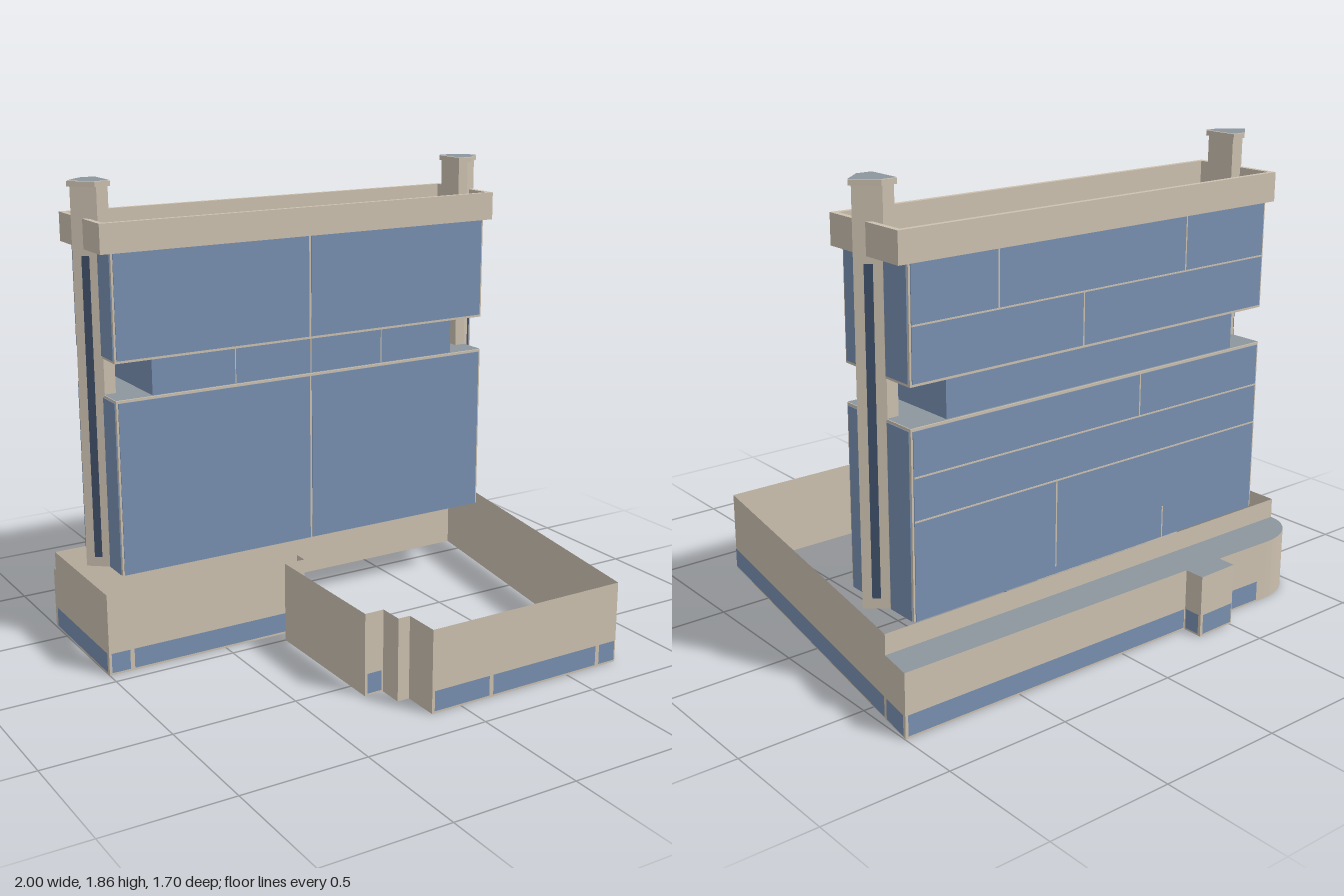
import * as THREE from 'three';

const mat = (name, color, side = THREE.FrontSide) => {
  const m = new THREE.MeshStandardMaterial({ color, side });
  m.name = name;
  return m;
};

export function createModel() {
  const stone = mat('stone', 0xcdc1b0, THREE.DoubleSide);
  const glass = mat('blue glass', 0x7890b0);
  const slate = mat('grey roof', 0x8c969d, THREE.DoubleSide);
  const dark = mat('dark glass', 0x40516a);

  const model = new THREE.Group();
  const podium = new THREE.Group();
  podium.name = 'podium';
  const tower = new THREE.Group();
  tower.name = 'tower';
  tower.position.x = -0.01;
  model.add(podium, tower);

  const add = (parent, name, geometry, material, x = 0, y = 0, z = 0) => {
    const m = new THREE.Mesh(geometry, material);
    m.name = name;
    m.position.set(x, y, z);
    parent.add(m);
    return m;
  };
  // Box given by its extents
  const box = (parent, name, material, x0, x1, y0, y1, z0, z1) =>
    add(parent, name, new THREE.BoxGeometry(x1 - x0, y1 - y0, z1 - z0), material,
      (x0 + x1) / 2, (y0 + y1) / 2, (z0 + z1) / 2);
  // Upright sheet between plan points a and b, facing left-hand outward
  const sheet = (parent, name, material, a, b, y0, y1, off = 0, inset = 0) => {
    const dx = b[0] - a[0], dz = b[1] - a[1], len = Math.hypot(dx, dz);
    const nx = dz / len, nz = -dx / len;
    const m = add(parent, name, new THREE.PlaneGeometry(len - 2 * inset, y1 - y0), material,
      (a[0] + b[0]) / 2 + nx * off, (y0 + y1) / 2, (a[1] + b[1]) / 2 + nz * off);
    m.rotation.y = Math.atan2(nx, nz);
    return m;
  };
  const planShape = (pts) => new THREE.Shape(pts.map(([x, z]) => new THREE.Vector2(x, -z)));
  const prism = (parent, name, material, pts, y0, y1) =>
    add(parent, name, new THREE.ExtrudeGeometry(planShape(pts), { depth: y1 - y0, bevelEnabled: false })
      .rotateX(-Math.PI / 2), material, 0, y0, 0);
  const flat = (parent, name, material, pts, y) =>
    add(parent, name, new THREE.ShapeGeometry(planShape(pts)).rotateX(-Math.PI / 2), material, 0, y, 0);

  // Tall podium walls around an open court
  const court = [[0.74, 0.85], [-0.13, 0.85], [-0.13, 0.7], [-0.18, 0.7], [-0.18, 0.6], [-0.26, 0.6],
    [-0.26, 0], [-0.17, 0], [-0.17, -0.06], [-1, -0.06], [-0.995, -0.605], [0.975, -0.605]];
  court.forEach((p, i) => sheet(podium, 'courtWall', stone, p, court[(i + 1) % court.length], 0, 0.33));

  // Low rear wing with a rounded corner and a projecting bay
  const curve = [];
  for (let i = 0; i <= 10; i++) {
    const t = (i / 10) * Math.PI / 2;
    curve.push([-0.785 - 0.21 * Math.cos(t), -0.605 - 0.165 * Math.sin(t)]);
  }
  const wing = [...curve, [-0.51, -0.765], [-0.51, -0.84], [-0.33, -0.845], [-0.33, -0.762],
    [0.998, -0.75], [0.975, -0.605]];
  for (let i = 0; i < wing.length - 1; i++) sheet(podium, 'wingWall', stone, wing[i], wing[i + 1], 0, 0.25);
  flat(podium, 'wingRoof', slate, wing, 0.25);

  // Shop window band at street level
  const windows = [
    [[0.74, 0.85], [0.645, 0.85]], [[0.645, 0.85], [0.135, 0.85]], [[0.135, 0.85], [-0.13, 0.85]],
    [[-0.18, 0.6], [-0.26, 0.6]],
    [[-0.17, -0.06], [-0.905, -0.06]], [[-0.905, -0.06], [-1, -0.06]], [[-1, -0.06], [-0.995, -0.605]],
    [curve[4], curve[5]], [[-0.74, -0.769], [-0.51, -0.765]],
    [[-0.51, -0.84], [-0.33, -0.845]], [[-0.33, -0.845], [-0.33, -0.762]],
    [[-0.33, -0.762], [0.998, -0.75]], [[0.998, -0.75], [0.975, -0.605]], [[0.975, -0.605], [0.74, 0.85]],
  ];
  windows.forEach(([a, b]) => sheet(podium, 'shopWindow', glass, a, b, 0.01, 0.09, 0.004, 0.009));

  // Two glazed tower blocks separated by a recessed floor
  const W = 0.855, ZF = -0.215, ZB = -0.595, T = 0.003;
  for (const [y0, y1] of [[0.33, 1.035], [1.18, 1.61]]) {
    box(tower, 'towerBlock', stone, -W, W, y0, y1, ZB, ZF);
    flat(tower, 'blockRoof', slate, [[-W, ZF], [W, ZF], [W, ZB], [-W, ZB]], y1 + 0.002);
    const p0 = y0 < 1 ? y0 : y0 + 0.01, p1 = y0 < 1 ? y1 - 0.01 : y1;
    for (const s of [-1, 1]) {
      const x = [s * 0.005, s * 0.847].sort((a, b) => a - b);
      box(tower, 'frontGlazing', glass, x[0], x[1], p0, p1, ZF, ZF + T);
      const e = [s * W, s * (W + T)].sort((a, b) => a - b);
      box(tower, 'sideGlazing', glass, e[0], e[1], p0, p1, ZF - 0.125, ZF - 0.008);
      box(tower, 'sideGlazing', glass, e[0], e[1], p0, p1, ZB + 0.008, ZB + 0.135);
    }
    box(tower, 'rearGlazing', glass, -0.847, 0.847, p0, p1, ZB - T, ZB);
  }
  box(tower, 'recessedFloor', glass, -0.7, 0.7, 1.035, 1.18, -0.587, -0.222);
  for (const x of [-0.34, 0.005, 0.345])
    box(tower, 'recessMullion', stone, x - 0.002, x + 0.002, 1.037, 1.18, -0.223, -0.22);

  // Thin joints on the rear glazing
  for (const y of [1.39, 0.86, 0.7])
    box(tower, 'rearJoint', stone, -0.847, 0.847, y - 0.003, y + 0.003, ZB - 0.005, ZB);
  for (const [x, y0, y1] of [[0.48, 1.39, 1.61], [-0.42, 1.39, 1.61], [0.09, 1.19, 1.39],
    [-0.2, 0.86, 1.025], [0.21, 0.36, 0.7], [-0.34, 0.33, 0.46]])
    box(tower, 'rearJoint', stone, x - 0.003, x + 0.003, y0, y1, ZB - 0.005, ZB);

  // Parapet ring, wider than the blocks
  const ring = planShape([[-0.898, -0.207], [0.898, -0.207], [0.898, -0.603], [-0.898, -0.603]]);
  ring.holes.push(planShape([[-0.876, -0.227], [0.876, -0.227], [0.876, -0.583], [-0.876, -0.583]]));
  add(tower, 'parapet', new THREE.ExtrudeGeometry(ring, { depth: 0.115, bevelEnabled: false })
    .rotateX(-Math.PI / 2), stone, 0, 1.6, 0);

  // Pointed pillars at both ends, with slot windows and caps
  const zc = -0.393;
  for (const s of [-1, 1]) {
    const plan = (inner, shoulder, tip, half) => [[inner, zc + half], [shoulder, zc + half], [tip, zc],
      [shoulder, zc - half], [inner, zc - half]].map(([x, z]) => [s * x, z]);
    const body = plan(0.806, 0.852, 0.932, 0.064);
    prism(tower, 'pillar', stone, body, 0.33, 1.835);
    const cap = plan(0.8, 0.862, 0.944, 0.073);
    prism(tower, 'pillarCap', stone, cap, 1.835, 1.855);
    flat(tower, 'pillarCapTop', slate, cap, 1.857);
    for (const k of [1, 3]) {
      const a = body[k], b = body[k + (k === 1 ? 1 : -1)];
      const lerp = (t) => [a[0] + (b[0] - a[0]) * t, a[1] + (b[1] - a[1]) * t];
      const ends = [lerp(0.36), lerp(0.66)];
      if (s * (k === 1 ? 1 : -1) > 0) ends.reverse();
      sheet(tower, 'slotWindow', dark, ends[0], ends[1], 0.37, 1.575, 0.003);
    }
  }
  return model;
}
